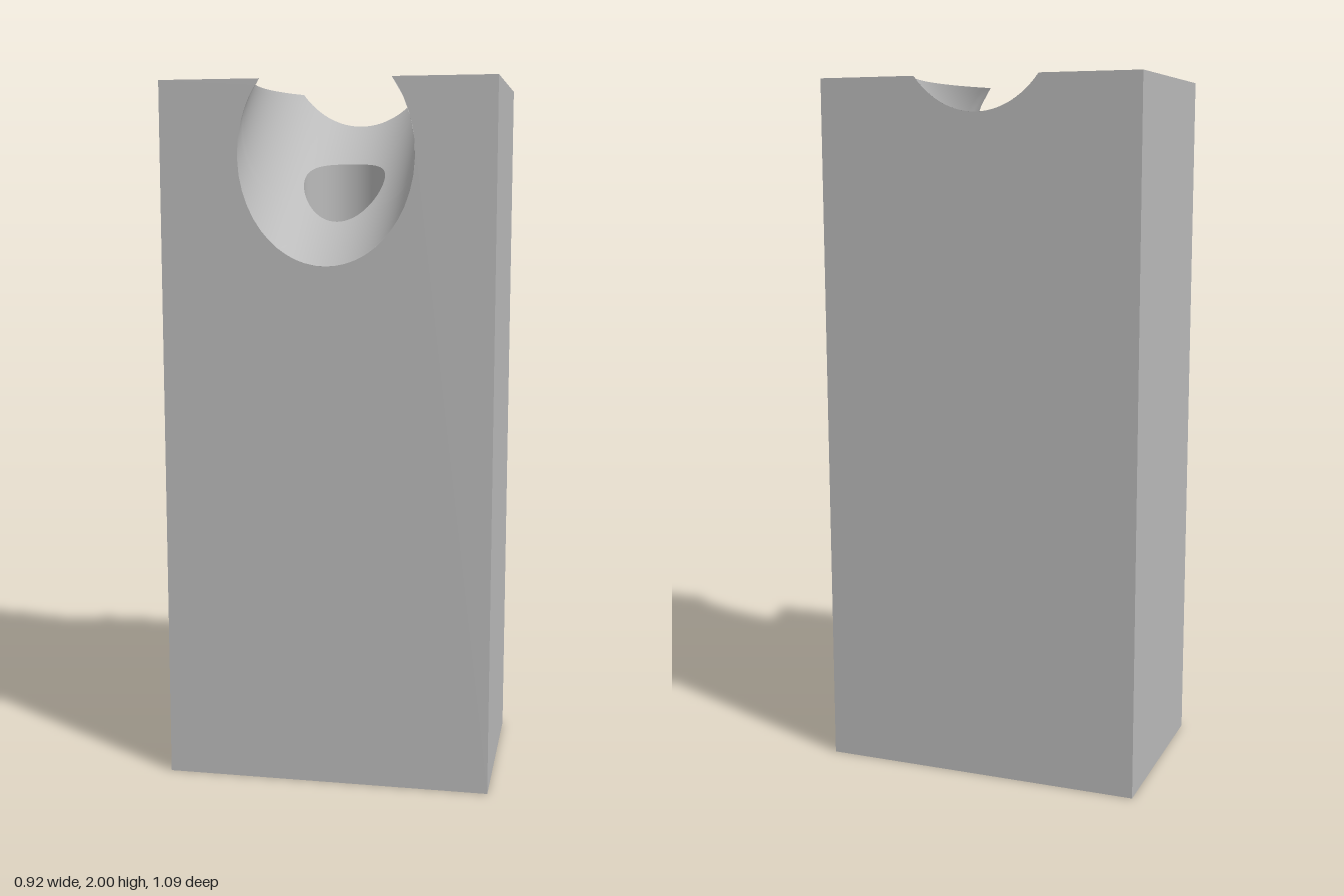
import * as THREE from 'three';
import { mergeVertices } from 'three/addons/utils/BufferGeometryUtils.js';

const W = 0.288, D = 0.4685, H = 2;      // half width, half depth, height of the block
const R = 0.247;                         // radius of the slanted groove
const TILT = THREE.MathUtils.degToRad(35.4);
const BORE = 0.1185;                     // radius of the vertical bore
const N = 128;

// Groove: at a given x its section is an ellipse; the angle a runs from its lowest point.
const grooveLimit = (x) => Math.acos((x * Math.sin(TILT)) / R);
const groovePoint = (x, a) => [
  x, H + x * Math.tan(TILT) - (R * Math.cos(a)) / Math.cos(TILT), R * Math.sin(a),
];

// Smooth surface over an i/j grid; it faces along di x dj.
function gridSurface(ni, nj, point) {
  const pos = [], index = [];
  for (let j = 0; j <= nj; j++)
    for (let i = 0; i <= ni; i++) pos.push(...point(i / ni, j / nj));
  for (let j = 0; j < nj; j++)
    for (let i = 0; i < ni; i++) {
      const a = j * (ni + 1) + i, b = a + 1, c = a + ni + 1, d = c + 1;
      index.push(a, b, c, b, d, c);
    }
  let geo = new THREE.BufferGeometry();
  geo.setAttribute('position', new THREE.Float32BufferAttribute(pos, 3));
  geo.setIndex(index);
  geo = mergeVertices(geo, 1e-5);
  geo.computeVertexNormals();
  return geo;
}

const flatShape = (points) =>
  new THREE.ShapeGeometry(new THREE.Shape(points.map(([x, y]) => new THREE.Vector2(x, y))));

// End face with the groove's opening cut from its top edge
function endFace(side) {
  const pts = [[-D, 0], [D, 0], [D, H]];
  const limit = grooveLimit(side * W);
  for (let k = 0; k <= 64; k++) {
    const [, y, z] = groovePoint(side * W, limit * (1 - k / 32));
    pts.push([z, Math.min(y, H)]);
  }
  pts.push([-D, H]);
  return flatShape(pts).translate(0, 0, W).rotateY((side * Math.PI) / 2);
}

// Top land beside the groove
function topLand(side) {
  const pts = [[W, D], [-W, D]];
  for (let k = 0; k <= 48; k++) {
    const x = W * (k / 24 - 1);
    pts.push([x, Math.sqrt(R * R - (x * Math.sin(TILT)) ** 2)]);
  }
  const geo = flatShape(pts).rotateX(-Math.PI / 2).translate(0, H, 0);
  return side > 0 ? geo.rotateY(Math.PI) : geo;
}

function bottomFace() {
  const shape = new THREE.Shape();
  shape.moveTo(-W, -D).lineTo(W, -D).lineTo(W, D).lineTo(-W, D).closePath();
  shape.holes.push(new THREE.Path().absarc(0, 0, BORE, 0, Math.PI * 2, true));
  return new THREE.ShapeGeometry(shape, N / 2).rotateX(Math.PI / 2);
}

// Groove floor, spreading from the rim of the bore to the edges of the block
function grooveFloor() {
  return gridSurface(N, 24, (i, j) => {
    const c = Math.cos(i * Math.PI * 2), s = Math.sin(i * Math.PI * 2);
    const m = Math.max(Math.abs(c), Math.abs(s));
    const x0 = BORE * c;
    const t0 = Math.asin((BORE * s) / R) / grooveLimit(x0);
    const x = THREE.MathUtils.lerp(x0, (W * c) / m, j);
    const t = THREE.MathUtils.lerp(t0, s / m, j);
    return groovePoint(x, t * grooveLimit(x));
  });
}

// Bore wall, facing inward and rising to the groove floor
function boreWall() {
  return gridSurface(N, 1, (i, j) => {
    const x = BORE * Math.cos(i * Math.PI * 2), z = BORE * Math.sin(i * Math.PI * 2);
    return [x, j * groovePoint(x, Math.asin(z / R))[1], z];
  });
}

export function createModel() {
  const grey = new THREE.MeshStandardMaterial({ color: 0xbababa, side: THREE.DoubleSide });
  grey.name = 'plain grey';
  const model = new THREE.Group();
  model.name = 'groovedBlock';
  const add = (name, geo) => {
    const mesh = new THREE.Mesh(geo, grey);
    mesh.name = name;
    model.add(mesh);
  };

  for (const side of [1, -1]) {
    const label = side > 0 ? 'left' : 'right';
    const face = side > 0 ? 'front' : 'back';
    add(label + 'EndFace', endFace(side));
    add(face + 'TopLand', topLand(side));
    add(face + 'Wall', new THREE.PlaneGeometry(2 * W, H)
      .translate(0, H / 2, D).rotateY(side > 0 ? 0 : Math.PI));
  }
  add('bottomFace', bottomFace());
  add('grooveFloor', grooveFloor());
  add('boreWall', boreWall());

  // The block stands turned about its vertical axis
  model.rotation.y = THREE.MathUtils.degToRad(24.9);
  return model;
}
